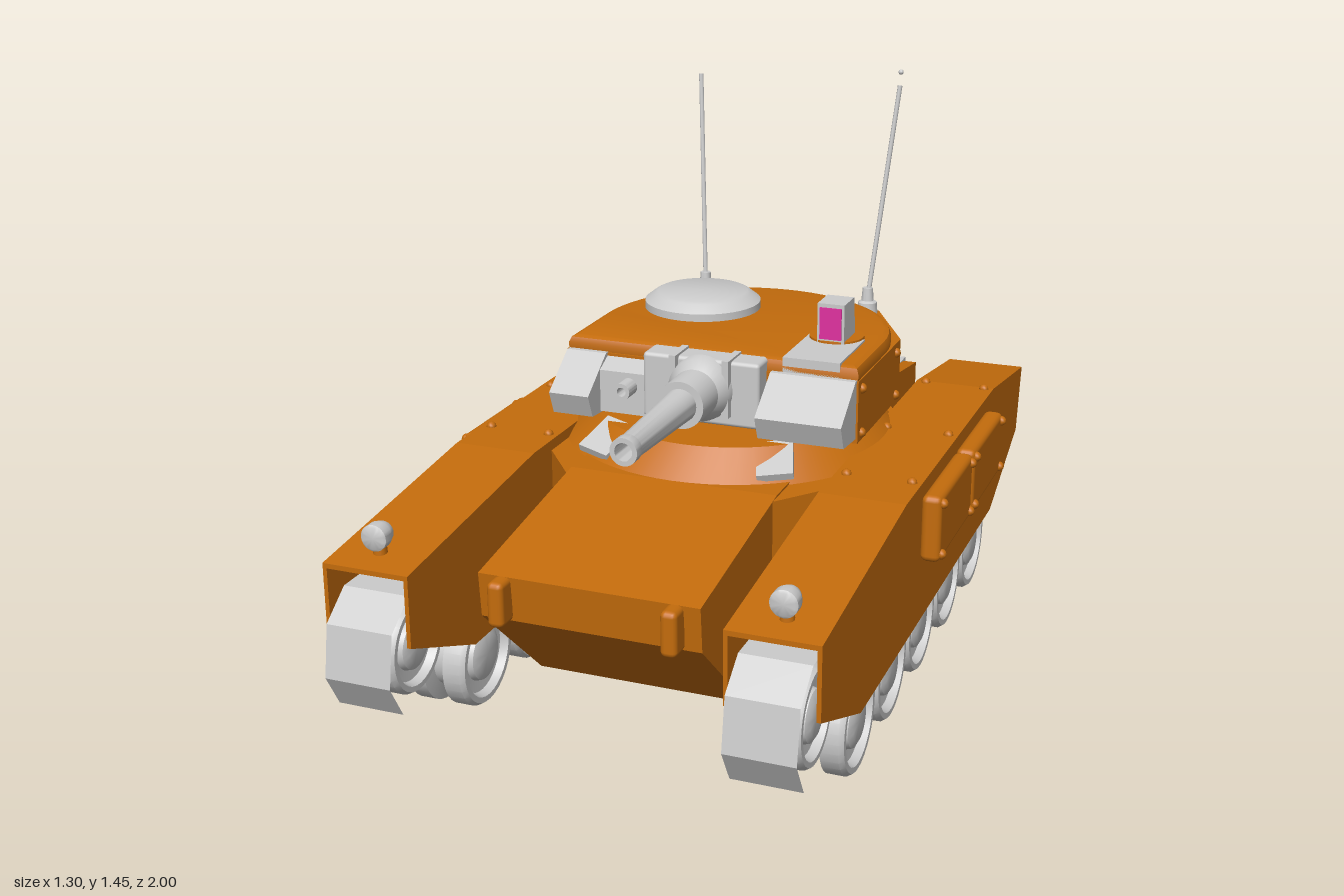
import * as THREE from 'three';
import { toCreasedNormals } from 'three/addons/utils/BufferGeometryUtils.js';
import { RoundedBoxGeometry } from 'three/addons/geometries/RoundedBoxGeometry.js';
import { ConvexGeometry } from 'three/addons/geometries/ConvexGeometry.js';

const orange = new THREE.MeshStandardMaterial({ color: 0xc46c0c });
const grey = new THREE.MeshStandardMaterial({ color: 0xcccccc });
const pink = new THREE.MeshStandardMaterial({ color: 0xe030a0 });

const shapeOf = (pts) => new THREE.Shape(pts.map(([a, b]) => new THREE.Vector2(a, b)));

// Extrude a [z, y] side profile from x0 to x1
function sideExtrude(pts, x0, x1) {
  const g = new THREE.ExtrudeGeometry(shapeOf(pts), { depth: x1 - x0, bevelEnabled: false });
  return g.rotateY(-Math.PI / 2).translate(x1, 0, 0);
}

// Extrude an [x, z] plan from y0 to y1, with an optional bevelled edge
function planExtrude(pts, y0, y1, bevel = 0) {
  const g = new THREE.ExtrudeGeometry(shapeOf(pts.map(([x, z]) => [x, -z])), {
    depth: y1 - y0 - bevel, bevelEnabled: bevel > 0, bevelThickness: bevel,
    bevelSize: bevel, bevelOffset: -bevel, bevelSegments: 2,
  });
  return g.rotateX(-Math.PI / 2).translate(0, y0, 0);
}

// Lathe turned so its axis runs along z or x
const lathe = (pts, segs = 32) => toCreasedNormals(
  new THREE.LatheGeometry(pts.map(([r, h]) => new THREE.Vector2(r, h)), segs), 0.6);

export function createModel() {
  const model = new THREE.Group();
  const add = (name, geo, mat, x = 0, y = 0, z = 0) => {
    const m = new THREE.Mesh(geo, mat);
    m.name = name;
    m.position.set(x, y, z);
    model.add(m);
    return m;
  };
  const box = (name, mat, x0, x1, y0, y1, z0, z1, r = 0) => add(name,
    r ? new RoundedBoxGeometry(x1 - x0, y1 - y0, z1 - z0, 2, r) : new THREE.BoxGeometry(x1 - x0, y1 - y0, z1 - z0),
    mat, (x0 + x1) / 2, (y0 + y1) / 2, (z0 + z1) / 2);
  const rivet = new THREE.SphereGeometry(0.013, 10, 6);

  // Hull: long central body and a wider middle section under the turret
  add('hull', sideExtrude([[0.5, 0.13], [0.79, 0.395], [0.8, 0.505], [0.3, 0.58], [-0.6, 0.58],
    [-0.975, 0.53], [-0.975, 0.36], [-0.82, 0.13]], -0.268, 0.268), orange);
  const mid = [];
  for (const s of [-1, 1]) {
    for (const y of [0.4, 0.575])
      for (const [x, z] of [[0.268, -0.58], [0.37, -0.38], [0.37, 0.2], [0.268, 0.33]])
        mid.push(new THREE.Vector3(s * x, y, z));
    for (const z of [-0.52, 0.27]) mid.push(new THREE.Vector3(s * 0.268, 0.3, z));
  }
  add('middleHull', new ConvexGeometry(mid), orange);

  // Conical collar carrying the turret
  add('turretCollar', toCreasedNormals(new THREE.CylinderGeometry(0.36, 0.44, 0.08, 64), 0.5), orange, 0, 0.61, -0.13);

  // Wheel: two rims with a groove between them, dished face and raised hub
  const half = [[0.09, 0.02], [0.13, 0.026], [0.13, 0.07], [0.122, 0.082], [0.108, 0.082],
    [0.1, 0.062], [0.07, 0.06], [0.066, 0.074], [0.05, 0.082], [0, 0.082]];
  const wheelGeo = lathe([...half.map(([r, h]) => [r, -h]).reverse(), ...half]).rotateZ(-Math.PI / 2);

  const roofLine = [[0.935, 0.535], [0.3, 0.602], [-0.6, 0.602], [-0.98, 0.55]];
  const skirt = [...roofLine, [-0.94, 0.37], [-0.63, 0.235], [0.64, 0.235], [0.935, 0.36]];
  const roof = [...roofLine, ...roofLine.map(([z, y]) => [z, y - 0.012]).reverse()];
  // Track path as [z, y, number of plates to the next point]
  const track = [[0.76, 0.47, 1], [0.9, 0.47, 1], [0.98, 0.41, 1], [1.0, 0.285, 1],
    [0.95, 0.2, 4], [0.62, 0.002, 14], [-0.66, 0.002, 0]];

  for (const s of [-1, 1]) {
    // Hollow track guard, open at the front, back and bottom
    const [a, b] = s > 0 ? [0.37, 0.585] : [-0.585, -0.37];
    add('guardRoof', sideExtrude(roof, a, b), orange);
    add('guardWall', sideExtrude(skirt, a, a + 0.01), orange);
    add('guardWall', sideExtrude(skirt, b - 0.01, b), orange);
    for (const z of [-0.59, -0.195, 0.16])
      for (const x of [0.397, 0.56]) add('guardBolt', rivet, orange, s * x, 0.602, z);

    // Road wheels and smaller end wheels
    const wx = s * 0.473;
    for (let i = 0; i < 5; i++) add('roadWheel', wheelGeo, grey, wx, 0.16, 0.54 - i * 0.275);
    for (const [z, y] of [[0.866, 0.335], [-0.885, 0.355]])
      add('endWheel', wheelGeo, grey, wx, y, z).scale.set(1, 0.885, 0.885);

    // Track plates along the path, facing outwards
    for (let i = 0; i < track.length - 1; i++) {
      const [z0, y0, n] = track[i], [z1, y1] = track[i + 1];
      const dz = (z1 - z0) / n, dy = (y1 - y0) / n, len = Math.hypot(dz, dy);
      for (let k = 0; k < n; k++) {
        const plate = new THREE.PlaneGeometry(0.165, len - (n > 1 ? 0.008 : 0));
        add('trackPlate', plate.rotateX(Math.atan2(-dz, -dy)), grey, wx, y0 + dy * (k + 0.5), z0 + dz * (k + 0.5));
      }
    }

    // Headlight with a domed back
    add('headlight', lathe([[0, -0.032], [0.013, -0.029], [0.025, -0.02], [0.032, 0], [0.032, 0.026], [0.026, 0.03], [0, 0.03]], 24)
      .rotateX(Math.PI / 2), grey, s * 0.483, 0.588, 0.855);
    add('headlightMount', new THREE.CylinderGeometry(0.014, 0.018, 0.05, 12), orange, s * 0.483, 0.55, 0.855);

    // Front hooks, rear brackets and collar plates
    box('frontHook', orange, s * 0.208 - 0.02, s * 0.208 + 0.02, 0.395, 0.505, 0.78, 0.845, 0.014);
    box('rearBracket', grey, s * 0.19 - 0.04, s * 0.19 + 0.04, 0.37, 0.536, -0.985, -0.935);
    for (const e of [-1, 1])
      box('rearBracketRib', grey, s * 0.19 + e * 0.032 - 0.008, s * 0.19 + e * 0.032 + 0.008, 0.37, 0.536, -0.997, -0.98);
    const plate = box('collarPlate', grey, s * 0.222 - 0.045, s * 0.222 + 0.045, 0.61, 0.63, 0.12, 0.24);
    plate.rotation.set(0.42, s * 0.3, 0);

    // Antenna and its socket
    add('antennaSocket', lathe([[0.028, 0], [0.026, 0.03], [0.017, 0.035], [0.014, 0.07], [0, 0.07]], 16), grey, s * 0.237, 0.8, -0.542);
    const rod = new THREE.LineCurve3(new THREE.Vector3(s * 0.237, 0.84, -0.542), new THREE.Vector3(s * 0.285, 1.41, -0.635));
    add('antenna', new THREE.TubeGeometry(rod, 1, 0.0065, 8), grey);
  }
  add('antennaTip', new THREE.SphereGeometry(0.007, 10, 8), grey, 0.285, 1.445, -0.64);

  // Bolted side panels: two on the left, one on the right
  for (const [s, z] of [[1, 0.01], [1, -0.33], [-1, 0.01]]) {
    add('sidePanel', new RoundedBoxGeometry(0.05, 0.17, 0.33, 2, 0.016), orange, s * 0.612, 0.492, z);
    for (const dy of [-0.065, 0.065])
      for (const dz of [-0.145, 0.145]) add('panelBolt', rivet, orange, s * 0.637, 0.492 + dy, z + dz);
  }

  // Turret: faceted wall and a round-backed roof
  add('turretWall', planExtrude([[-0.39, 0.05], [-0.39, -0.33], [-0.262, -0.57], [0.262, -0.57], [0.39, -0.33], [0.39, 0.05]], 0.64, 0.8), orange);
  const roofPlan = [[-0.387, 0.045]];
  for (let i = 0; i <= 32; i++) {
    const t = Math.PI * (1 - i / 32);
    roofPlan.push([0.387 * Math.cos(t), -0.195 - 0.387 * Math.sin(t)]);
  }
  roofPlan.push([0.387, 0.045]);
  add('turretRoof', toCreasedNormals(planExtrude(roofPlan, 0.79, 0.835, 0.018), 0.5), orange);
  for (const s of [-1, 1]) {
    for (const [y, z] of [[0.66, 0.02], [0.775, 0.02], [0.775, -0.29], [0.66, -0.29]])
      add('turretBolt', rivet, orange, s * 0.39, y, z);
    for (const y of [0.67, 0.775])
      for (const x of [0.07, 0.2]) add('turretBolt', rivet, orange, s * x, y, -0.57);
  }

  // Wedge-shaped cheeks; the right one is cut short for the small gun
  const wedge = [[0.03, 0.65], [0.15, 0.66], [0.175, 0.72], [0.06, 0.802], [0.03, 0.802]];
  add('leftCheek', sideExtrude(wedge, 0.165, 0.385), grey);
  add('rightCheek', sideExtrude(wedge, -0.385, -0.277), grey);
  add('smallGunPanel', sideExtrude([[0.03, 0.65], [0.1, 0.66], [0.1, 0.77], [0.03, 0.802]], -0.277, -0.155), grey);
  add('smallGun', lathe([[0.022, 0], [0.022, 0.05], [0.012, 0.05], [0.012, 0.01]], 20).rotateX(Math.PI / 2), grey, -0.197, 0.735, 0.1);

  // Mantlet and main gun
  box('mantlet', grey, -0.157, 0.152, 0.662, 0.832, -0.05, 0.105, 0.01);
  for (const s of [-1, 1]) box('mantletRib', grey, s * 0.07 - 0.009, s * 0.07 + 0.009, 0.69, 0.838, 0.03, 0.125);
  add('mainGun', lathe([[0.085, 0], [0.08, 0.03], [0.062, 0.055], [0.06, 0.15], [0.042, 0.15], [0.04, 0.2],
    [0.031, 0.46], [0.034, 0.465], [0.034, 0.495], [0.022, 0.495], [0.02, 0.42], [0, 0.42]]).rotateX(Math.PI / 2), grey, 0, 0.755, 0.095);

  // Round hatch
  add('hatch', lathe([[0.156, 0], [0.156, 0.02], [0.13, 0.04], [0.12, 0.045], [0, 0.045]], 48), grey, -0.163, 0.835, -0.33);

  // Sight with a coloured pane on its base
  box('sightBase', grey, 0.192, 0.34, 0.79, 0.84, -0.17, 0.045);
  add('sightRing', new THREE.CylinderGeometry(0.07, 0.072, 0.03, 32), orange, 0.265, 0.83, -0.17);
  add('sight', sideExtrude([[-0.107, 0.84], [-0.107, 0.942], [-0.19, 0.942], [-0.205, 0.84]], 0.232, 0.303), grey);
  box('sightPane', pink, 0.239, 0.296, 0.85, 0.932, -0.11, -0.103);

  return model;
}
